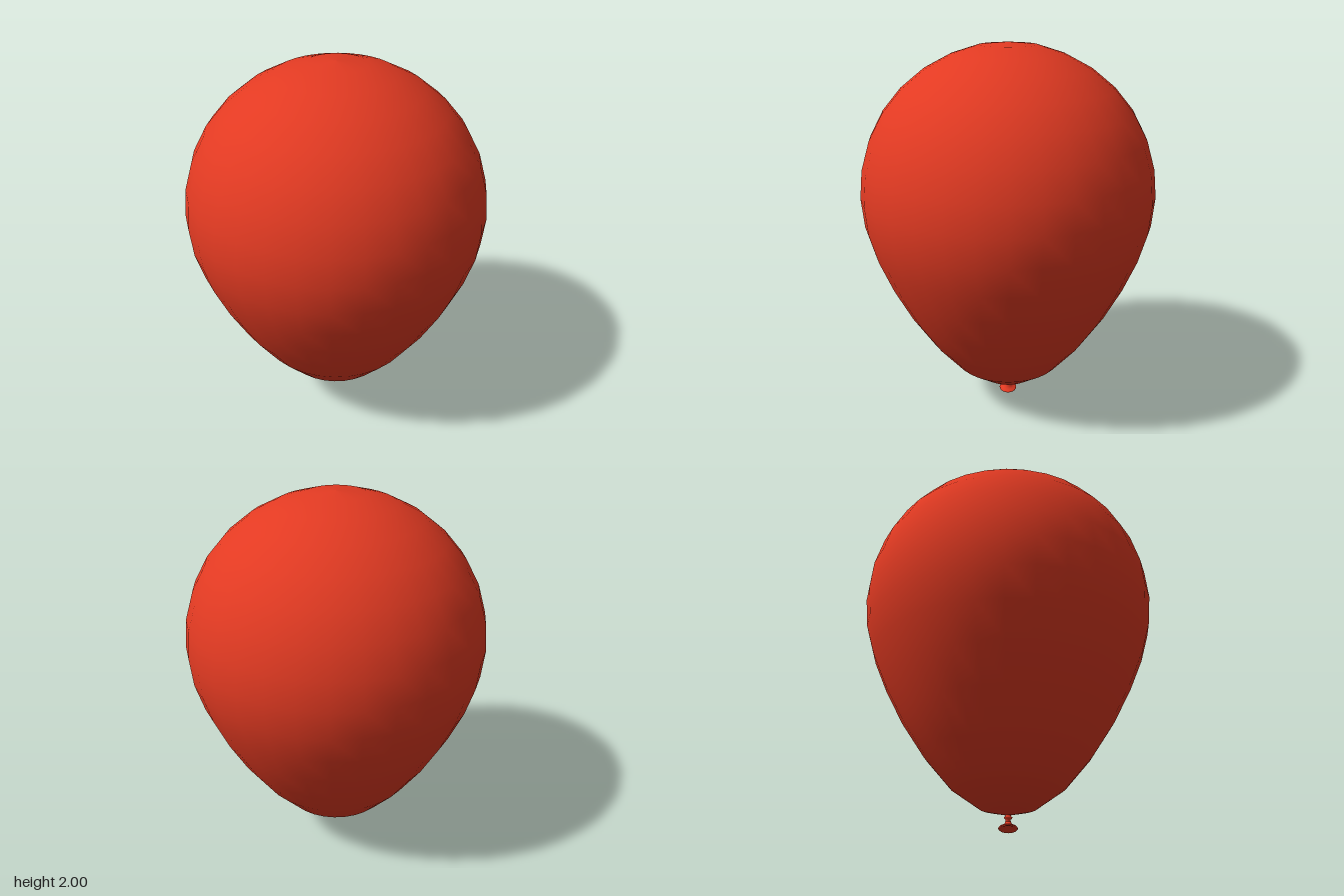
import * as THREE from 'three';

const material = new THREE.MeshStandardMaterial({ color: 0xe23a22, side: THREE.DoubleSide });

// Surface of revolution from [radius, height] pairs, listed bottom to top
function lathe(name, profile, segments) {
  const points = profile.map(([r, y]) => new THREE.Vector2(r, y));
  const mesh = new THREE.Mesh(new THREE.LatheGeometry(points, segments), material);
  mesh.name = name;
  return mesh;
}

export function createModel() {
  const model = new THREE.Group();
  model.name = 'balloon';

  // Inflated body: round crown tapering to the neck
  const body = lathe('body', [
    [0, 0.08], [0.15, 0.118], [0.3, 0.222], [0.438, 0.38], [0.56, 0.56], [0.657, 0.74],
    [0.73, 0.91], [0.775, 1.065], [0.79, 1.22], [0.775, 1.37], [0.73, 1.52], [0.657, 1.655],
    [0.56, 1.77], [0.438, 1.868], [0.3, 1.94], [0.154, 1.986], [0, 2],
  ], 32);
  body.scale.z = 0.988;
  model.add(body);

  // Tied neck with small rolled rings
  const neck = lathe('neck', [
    [0.012, 0.035], [0.013, 0.05], [0.012, 0.06], [0.02, 0.066], [0.021, 0.072],
    [0.013, 0.078], [0.016, 0.09],
  ], 16);
  model.add(neck);

  // Flared lip below the knot, hollow underneath and tilted sideways
  const lip = lathe('lip', [
    [0, 0.012], [0.014, 0.008], [0.034, -0.004], [0.045, -0.006], [0.049, -0.002],
    [0.045, 0.003], [0.032, 0.007], [0.02, 0.018], [0.014, 0.035],
  ], 20);
  lip.position.set(-0.003, 0.018, 0);
  lip.rotation.z = -0.24;
  model.add(lip);

  return model;
}
